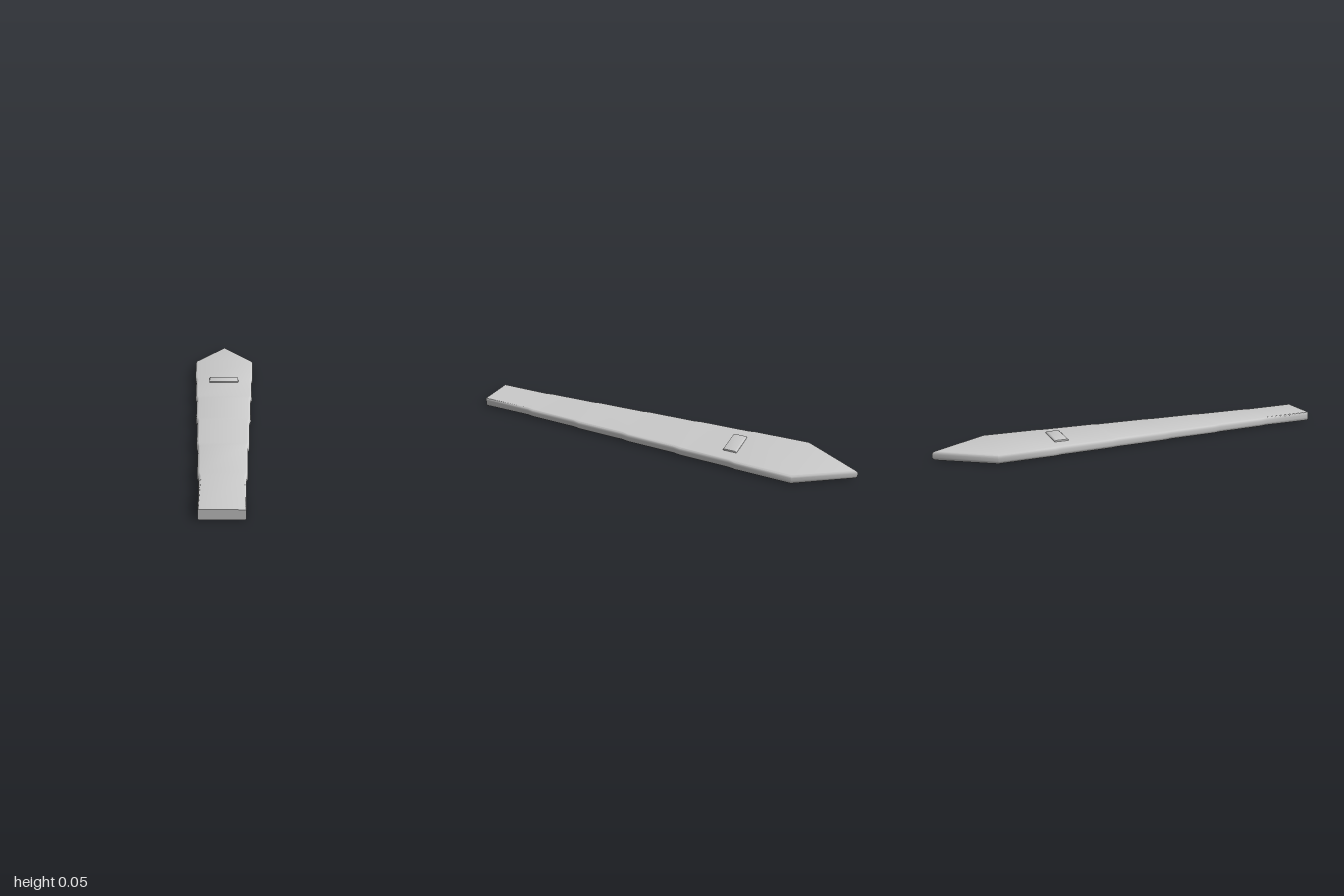
import * as THREE from 'three';
import { toCreasedNormals } from 'three/addons/utils/BufferGeometryUtils.js';

const THICK = 0.045, SHOULDER_Z = -0.73, TIP_Z = -1;
const SHOULDER_W = 0.17, END_W = 0.094;
const TIP_SLANT = 1.88; // how far the tip moves back for each unit of edge inset

// Half of the rounded edge profile: [inset from the outline, height], bottom to top
function edgeProfile(rx = 0.012, ry = 0.016, n = 4) {
  const pts = [];
  for (let i = 0; i <= n; i++) {
    const a = (i / n) * Math.PI / 2;
    pts.push([rx * (1 - Math.sin(a)), ry * (1 - Math.cos(a))]);
  }
  return pts.concat(pts.map(([d, y]) => [d, THICK - y]).reverse());
}

// Outline stations from the flat front end to the shoulder, widening in small steps
function outline() {
  const steps = 6, jump = 0.007, ramp = 0.035;
  const rise = (SHOULDER_W - END_W - jump * (steps - 1)) / steps;
  const length = (1 - SHOULDER_Z) / steps;
  const stations = [];
  let w = END_W;
  for (let i = 0; i < steps; i++) {
    const z = 1 - i * length;
    stations.push([z - (i ? ramp / 2 : 0), w]);
    w += rise;
    stations.push([z - length + (i < steps - 1 ? ramp / 2 : 0), w]);
    w += jump;
  }
  return stations;
}

function bladeGeometry() {
  const half = edgeProfile();
  const ring = (z, w, round) => [
    ...half.map(([d, y]) => [w - d * round, y, z]),
    ...half.map(([d, y]) => [-(w - d * round), y, z]).reverse(),
  ];
  // The rounding fades out towards the square front end
  const rings = outline().map(([z, w], i) => ring(z, w, i ? 1 : 0.2));
  // The pointed end closes to an upright edge at x = 0
  const tip = half.map(([d, y]) => [0, y, TIP_Z + d * TIP_SLANT]);
  rings.push([...tip, ...[...tip].reverse()]);

  const n = half.length * 2, index = [];
  for (let i = 0; i < rings.length - 1; i++) {
    for (let j = 0; j < n; j++) {
      const a = i * n + j, b = i * n + (j + 1) % n;
      index.push(a, a + n, b, b, a + n, b + n);
    }
  }
  // Flat front end
  for (let j = 1; j < n - 1; j++) index.push(0, j, j + 1);

  const geometry = new THREE.BufferGeometry();
  geometry.setAttribute('position', new THREE.Float32BufferAttribute(rings.flat(2), 3));
  geometry.setIndex(index);
  return toCreasedNormals(geometry, 0.6);
}

// Low raised bar: side profile swept across the width, with softened top edges
function barGeometry() {
  const width = 0.16, bevel = 0.003;
  const s = new THREE.Shape();
  s.moveTo(0.372, THICK - 0.005);
  s.lineTo(0.435, THICK - 0.005);
  s.lineTo(0.435, THICK + 0.001);
  s.quadraticCurveTo(0.433, 0.05, 0.425, 0.05);
  s.lineTo(0.375, 0.05);
  s.lineTo(0.372, 0.048);
  const geometry = new THREE.ExtrudeGeometry(s, {
    depth: width - 2 * bevel, curveSegments: 5,
    bevelSize: bevel, bevelThickness: bevel, bevelSegments: 2,
  });
  geometry.translate(0, 0, -width / 2 + bevel);
  geometry.rotateY(Math.PI / 2); // profile x runs to -z
  return toCreasedNormals(geometry, 0.6);
}

export function createModel() {
  const material = new THREE.MeshStandardMaterial({ color: 0xcccccc });
  const group = new THREE.Group();
  group.name = 'pointedStrip';
  const add = (name, geometry) => {
    const mesh = new THREE.Mesh(geometry, material);
    mesh.name = name;
    group.add(mesh);
  };
  add('blade', bladeGeometry());
  add('raisedBar', barGeometry());
  return group;
}
